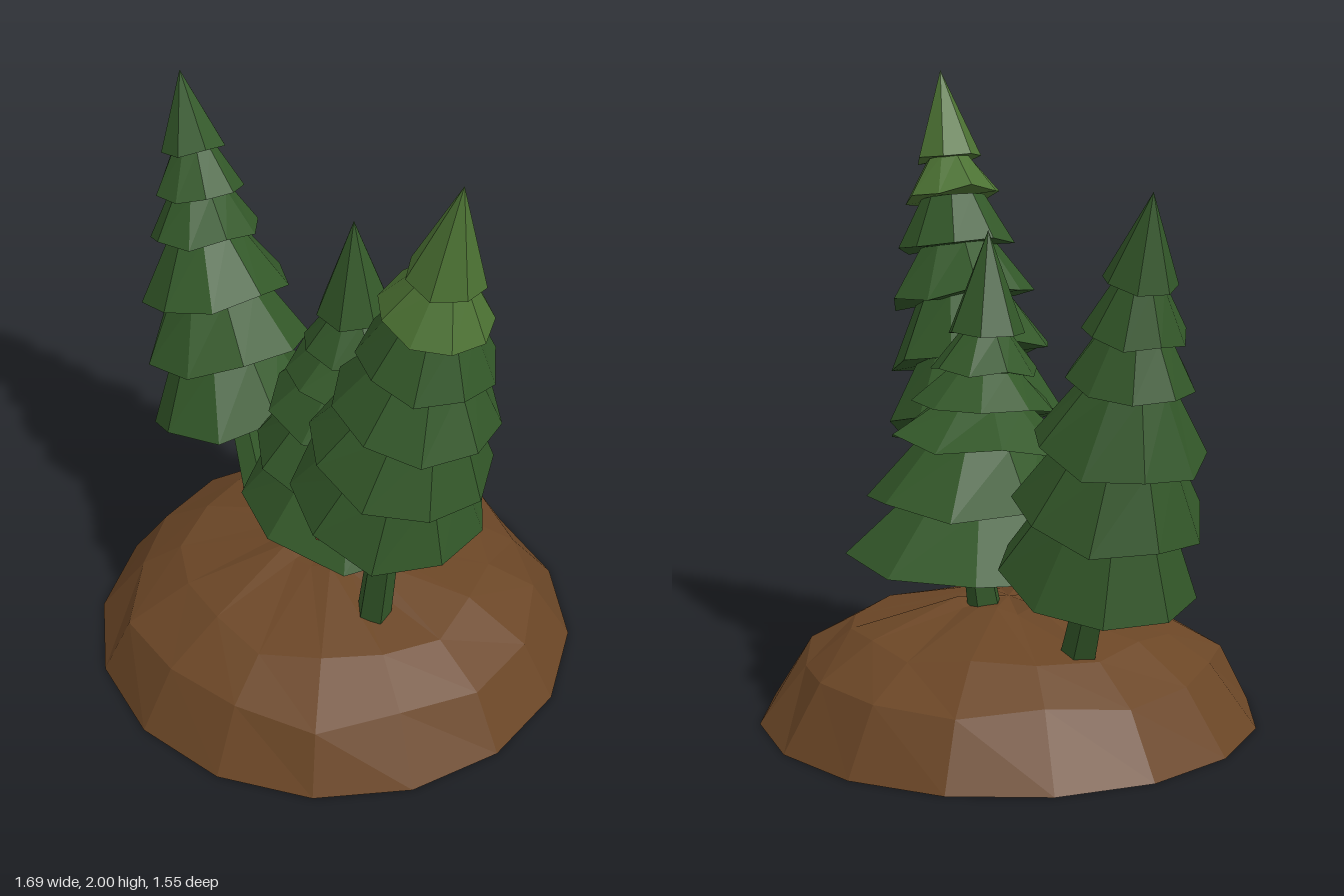
import * as THREE from 'three';

const paint = (color) => new THREE.MeshStandardMaterial({ color, flatShading: true });
const soil = paint(0x6b4626);
const needles = paint(0x335829);
const freshNeedles = paint(0x4c7233);
const UP = new THREE.Vector3(0, 1, 0);

// Tapered low-poly segment between two points, with a slightly uneven lower rim
function segment(name, from, to, rFrom, rTo, sides, material, turn = 0) {
  const axis = new THREE.Vector3().subVectors(to, from);
  const geometry = new THREE.CylinderGeometry(rTo, rFrom, axis.length(), sides);
  geometry.rotateY(turn);
  const p = geometry.attributes.position;
  for (let i = 0; i < p.count; i++) {
    if (p.getY(i) > 0) continue;
    const x = p.getX(i), z = p.getZ(i);
    p.setY(i, p.getY(i) + 0.06 * Math.hypot(x, z) * Math.sin(4 * Math.atan2(z, x) + 1));
  }
  const mesh = new THREE.Mesh(geometry, material);
  mesh.name = name;
  mesh.position.addVectors(from, to).multiplyScalar(0.5);
  mesh.quaternion.setFromUnitVectors(UP, axis.normalize());
  return mesh;
}

// A tree: trunk foot, list of [x, y, z, rim radius] per foliage tier, and tip
function tree(name, foot, tiers, tip, freshTiers = 0) {
  const group = new THREE.Group();
  group.name = name;
  const centres = tiers.map(([x, y, z]) => new THREE.Vector3(x, y, z));
  centres.push(new THREE.Vector3(...tip));
  const base = new THREE.Vector3(...foot);
  group.add(segment('trunk', base, centres[0].clone().lerp(centres[1], 0.3), 0.056, 0.042, 5, needles));
  tiers.forEach(([, , , radius], i) => {
    const last = i === tiers.length - 1;
    const top = last ? 0 : tiers[i + 1][3] * 0.66;
    const material = i >= tiers.length - freshTiers ? freshNeedles : needles;
    group.add(segment('foliageTier', centres[i], centres[i + 1], radius, top, last ? 7 : 9, material, i * 0.45));
  });
  return group;
}

// Faceted earth mound with a flat underside
function mound() {
  const profile = [[0, 0], [0.775, 0], [0.665, 0.19], [0.49, 0.29], [0.16, 0.365], [0, 0.372]]
    .map(([r, y]) => new THREE.Vector2(r, y));
  const geometry = new THREE.LatheGeometry(profile, 16);
  const p = geometry.attributes.position;
  for (let i = 0; i < p.count; i++) {
    const ring = i % profile.length;
    const side = Math.floor(i / profile.length) % 16;
    if (ring < 2 || ring > 4) continue;
    // Uneven facets, a steeper right flank and one cleft at the back
    const wobble = Math.sin(side * 2.4 + ring * 1.7);
    const flank = ring === 2 && side > 9 && side < 15 ? 0.035 : 0;
    const cleft = ring === 2 && side === 7 ? 0.08 : 0;
    const swell = 1 + 0.03 * wobble - flank - cleft;
    p.setXYZ(i, p.getX(i) * swell, p.getY(i) - 0.012 * wobble, p.getZ(i) * swell);
  }
  const flat = geometry.toNonIndexed();
  flat.computeVertexNormals();
  const mesh = new THREE.Mesh(flat, soil);
  mesh.name = 'mound';
  mesh.position.set(0.065, 0, 0);
  return mesh;
}

export function createModel() {
  const model = new THREE.Group();
  model.name = 'threePinesOnMound';
  model.add(mound());
  model.add(tree('rightTree', [-0.36, 0.29, -0.02], [
    [-0.475, 0.555, -0.04, 0.29],
    [-0.545, 0.76, -0.05, 0.275],
    [-0.61, 0.95, -0.06, 0.245],
    [-0.67, 1.14, -0.07, 0.18],
    [-0.705, 1.275, -0.08, 0.145],
    [-0.74, 1.41, -0.09, 0.105],
  ], [-0.81, 1.65, -0.1]));
  const middle = tree('middleTree', [0.05, 0.33, -0.09], [
    [0.05, 0.5, -0.135, 0.395],
    [0.05, 0.69, -0.12, 0.34],
    [0.05, 0.87, -0.11, 0.285],
    [0.05, 0.985, -0.1, 0.22],
    [0.05, 1.09, -0.095, 0.165],
    [0.05, 1.2, -0.09, 0.12],
  ], [0.05, 1.51, -0.08]);
  // Brown patch hanging under the lowest branches
  middle.add(segment('brownUnderside', new THREE.Vector3(0.21, 0.465, 0.05),
    new THREE.Vector3(0.2, 0.51, 0.04), 0.04, 0.15, 5, soil));
  model.add(middle);
  model.add(tree('leftTree', [0.37, 0.31, 0.1], [
    [0.45, 0.865, 0.12, 0.29],
    [0.51, 1.065, 0.135, 0.27],
    [0.56, 1.255, 0.13, 0.24],
    [0.595, 1.425, 0.13, 0.195],
    [0.62, 1.585, 0.13, 0.16],
    [0.65, 1.71, 0.13, 0.11],
  ], [0.7, 2, 0.13], 2));
  return model;
}
